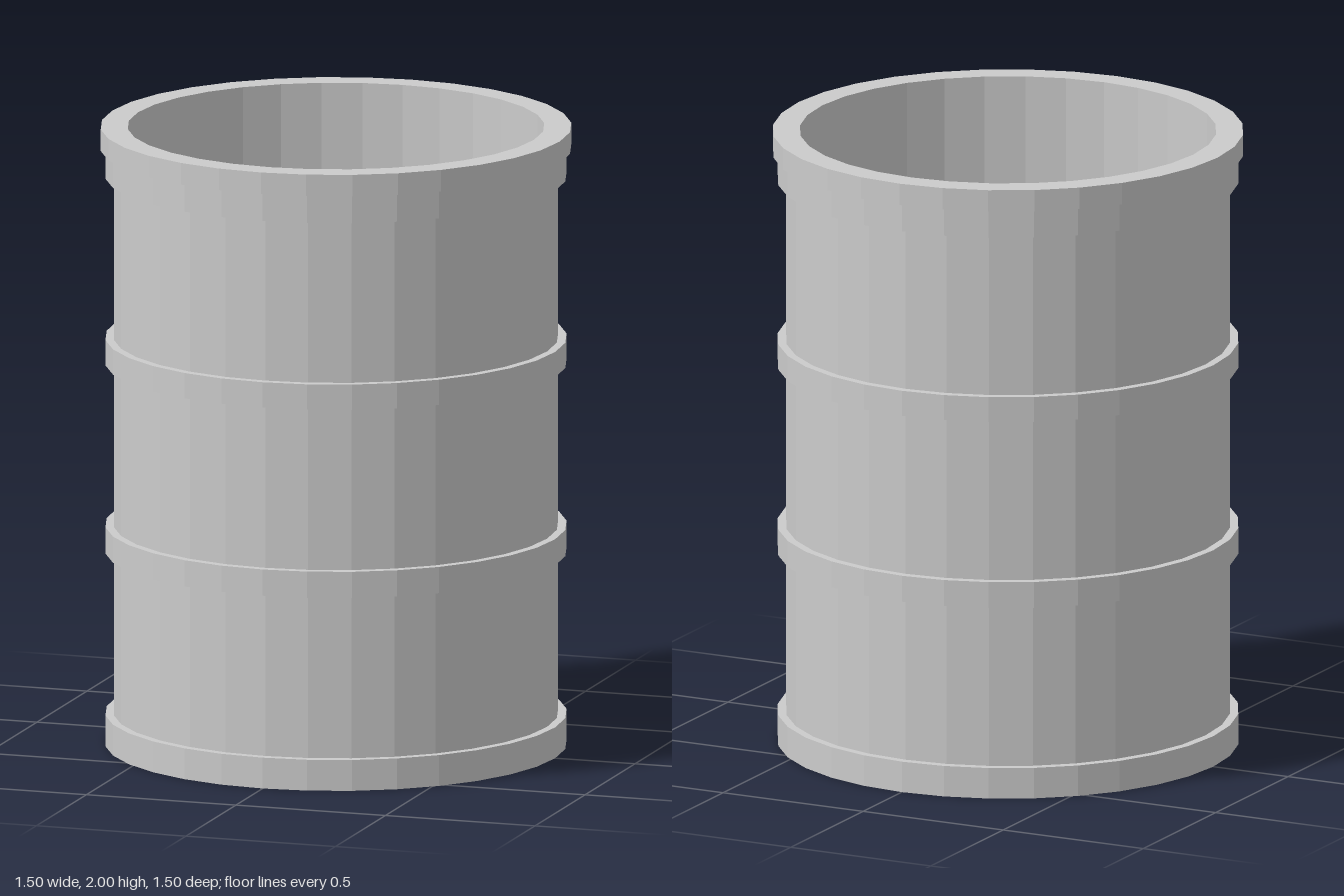
import * as THREE from 'three';

const SIDES = 32;
const WALL = 0.706, HOOP = 0.733, LIP = 0.748, INNER = 0.662;
const FLOOR = 0.05;

export function createModel() {
  const drum = new THREE.Group();
  drum.name = 'drum';
  const material = new THREE.MeshStandardMaterial({ color: 0xcccccc, flatShading: true });

  // Revolve a [radius, height] profile; rising profiles face outwards
  const revolve = (name, profile) => {
    const points = profile.map(([r, y]) => new THREE.Vector2(r, y));
    const mesh = new THREE.Mesh(new THREE.LatheGeometry(points, SIDES), material);
    mesh.name = name;
    drum.add(mesh);
  };

  // Outer wall
  revolve('outerWall', [[WALL, 0.1], [WALL, 1.84]]);

  // Closed base with its raised bottom hoop
  revolve('base', [[0, 0], [HOOP, 0], [HOOP, 0.1], [WALL, 0.1]]);

  // Two reinforcing hoops around the middle
  const hoops = { lowerHoop: [0.625, 0.71], upperHoop: [1.235, 1.317] };
  for (const [name, [y0, y1]] of Object.entries(hoops)) {
    revolve(name, [[WALL, y0], [HOOP, y0], [HOOP, y1], [WALL, y1]]);
  }

  // Stepped collar and wider lip at the open top
  revolve('collar', [[WALL, 1.84], [HOOP, 1.84], [HOOP, 1.93]]);
  revolve('lip', [[HOOP, 1.93], [LIP, 1.93], [LIP, 2], [INNER, 2]]);

  // Inside wall and floor
  revolve('interior', [[INNER, 2], [INNER, FLOOR], [0, FLOOR]]);

  return drum;
}
